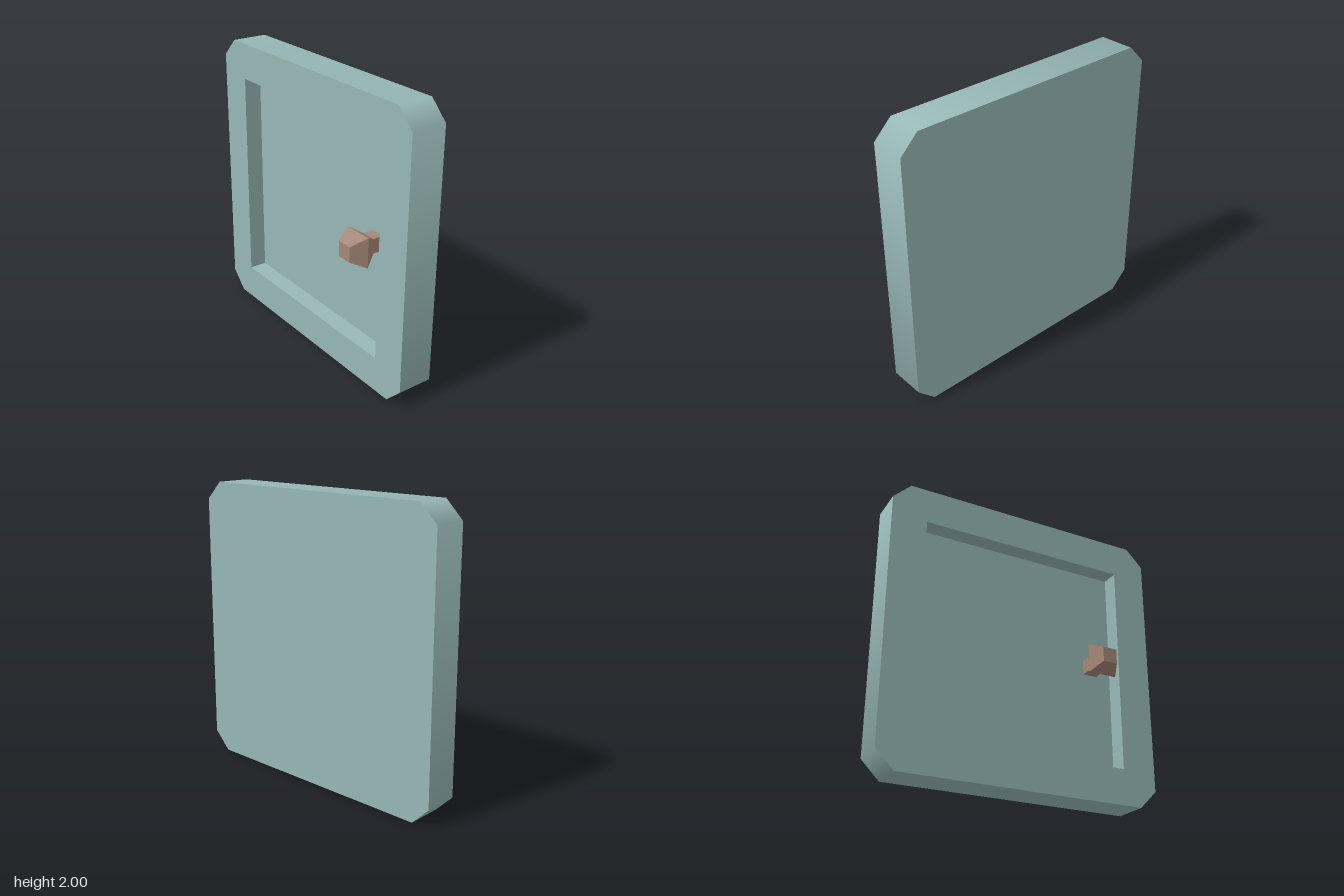
import * as THREE from 'three';
import { mergeGeometries } from 'three/addons/utils/BufferGeometryUtils.js';

const FACE = -0.055, BACK = 0.195, FLOOR = 0.07; // door planes along x
const CUT = 0.875, HOLE = 0.75;                  // chamfer start, recess half size

// Square outline with clipped corners, centred on the origin
function outline() {
  const s = new THREE.Shape();
  s.moveTo(CUT, -1).lineTo(1, -CUT).lineTo(1, CUT).lineTo(CUT, 1);
  s.lineTo(-CUT, 1).lineTo(-1, CUT).lineTo(-1, -CUT).lineTo(-CUT, -1);
  s.closePath();
  return s;
}

// Outer rim: smooth eight-sided tube pushed out to the clipped square
function rimGeometry() {
  const g = new THREE.CylinderGeometry(1, 1, BACK - FACE, 8, 1, true, Math.PI / 8);
  g.rotateZ(Math.PI / 2).translate((FACE + BACK) / 2, 0, 0);
  const p = g.attributes.position;
  for (let i = 0; i < p.count; i++) {
    const y = p.getY(i), z = p.getZ(i), tall = Math.abs(y) > Math.abs(z);
    p.setY(i, Math.sign(y) * (tall ? 1 : CUT));
    p.setZ(i, Math.sign(z) * (tall ? CUT : 1));
  }
  return g;
}

// Four inward-facing walls of the recess
function wallGeometry() {
  const walls = [];
  for (let i = 0; i < 4; i++) {
    const w = new THREE.PlaneGeometry(FLOOR - FACE, HOLE * 2);
    // lay each wall across the recess, facing its middle
    w.translate((FACE + FLOOR) / 2, 0, -HOLE).rotateX(i * Math.PI / 2);
    walls.push(w);
  }
  return mergeGeometries(walls);
}

// Square knob: stem, flared shoulder and tapered tip
function knobGeometry() {
  const profile = [[0.053, -FLOOR], [0.05, 0], [0.105, 0.09], [0.053, 0.195], [0, 0.195]]
    .map(([half, d]) => new THREE.Vector2(half * Math.SQRT2, d));
  const g = new THREE.LatheGeometry(profile, 4, Math.PI / 4).toNonIndexed();
  g.computeVertexNormals();
  return g.rotateZ(Math.PI / 2).translate(0, 0, 0.585);
}

export function createModel() {
  const model = new THREE.Group();
  const teal = new THREE.MeshStandardMaterial({ name: 'paleTeal', color: 0x97b8b6 });
  const brown = new THREE.MeshStandardMaterial({ name: 'dustyBrown', color: 0xa48778 });

  const door = new THREE.Group();
  door.name = 'door';
  door.position.y = 1;
  model.add(door);
  const add = (name, geometry, material) => {
    const mesh = new THREE.Mesh(geometry, material);
    mesh.name = name;
    door.add(mesh);
  };

  // Frame face with a square opening
  const frame = outline();
  const hole = new THREE.Path();
  hole.moveTo(-HOLE, -HOLE).lineTo(-HOLE, HOLE).lineTo(HOLE, HOLE).lineTo(HOLE, -HOLE);
  hole.closePath();
  frame.holes.push(hole);

  add('rim', rimGeometry(), teal);
  add('frameFace', new THREE.ShapeGeometry(frame).rotateY(-Math.PI / 2).translate(FACE, 0, 0), teal);
  add('flatFace', new THREE.ShapeGeometry(outline()).rotateY(Math.PI / 2).translate(BACK, 0, 0), teal);
  add('recessWalls', wallGeometry(), teal);
  add('recessFloor', new THREE.PlaneGeometry(HOLE * 2, HOLE * 2)
    .rotateY(-Math.PI / 2).translate(FLOOR, 0, 0), teal);
  add('knob', knobGeometry(), brown);
  return model;
}
